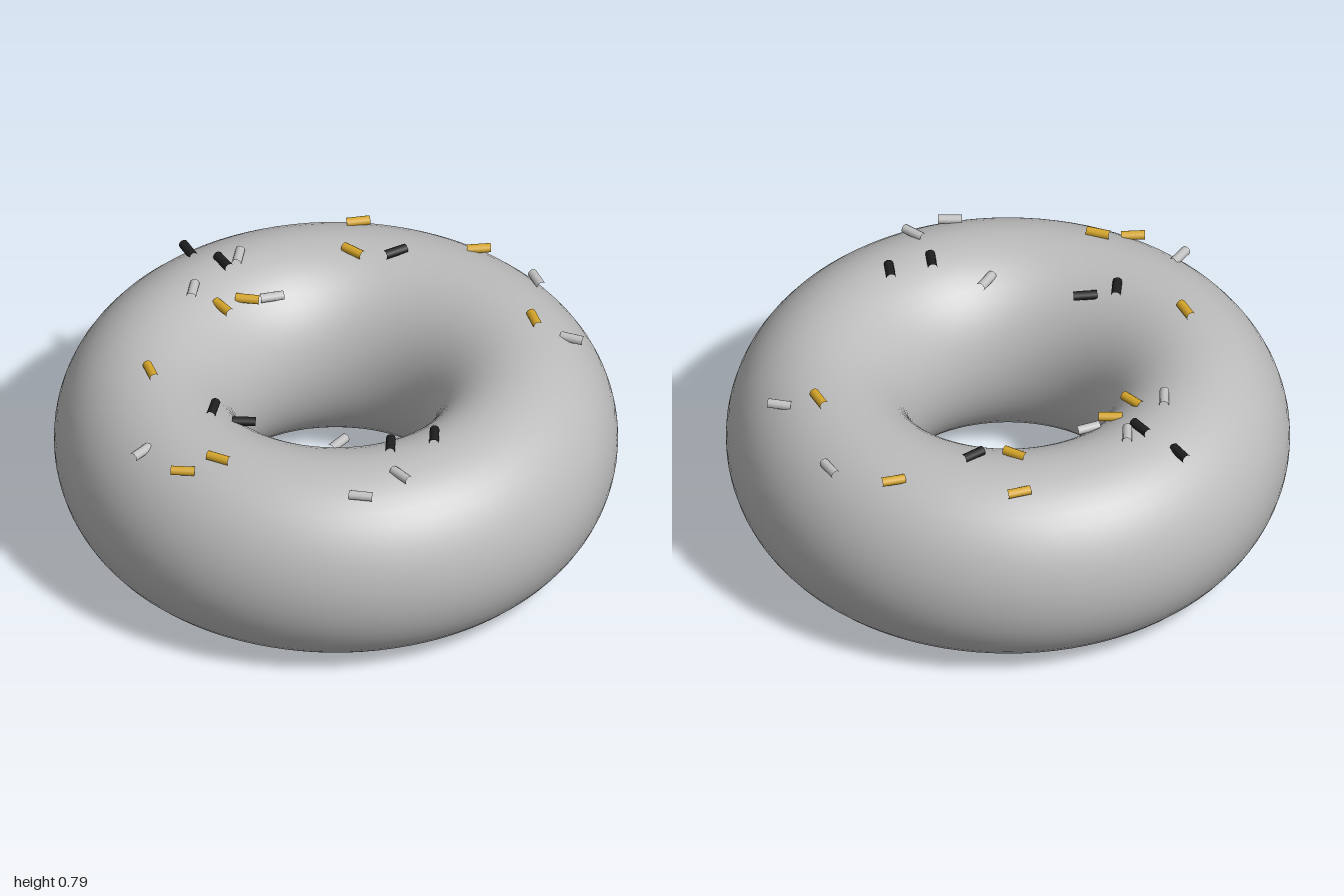
import * as THREE from 'three';

const RING = 0.668, HALF_WIDTH = 0.332, HALF_HEIGHT = 0.381;

const material = (name, color) => {
  const m = new THREE.MeshStandardMaterial({ color });
  m.name = name;
  return m;
};

// Height of the dough's upper surface at a distance r from the axis
const topHeight = (t) => HALF_HEIGHT * (1 + Math.sqrt(1 - t * t));

export function createModel() {
  const model = new THREE.Group();
  model.name = 'doughnut';

  const dough = material('doughGrey', 0xbcbcbc);
  const gold = material('sprinkleGold', 0xd6a62a);
  const silver = material('sprinkleSilver', 0xc2c2c2);
  const black = material('sprinkleBlack', 0x1e1e1e);

  // Ring body: a torus laid flat and stretched to an oval section
  const bodyGeo = new THREE.TorusGeometry(RING, HALF_WIDTH, 48, 96);
  bodyGeo.rotateX(Math.PI / 2);
  bodyGeo.scale(1, HALF_HEIGHT / HALF_WIDTH, 1);
  bodyGeo.translate(0, HALF_HEIGHT, 0);
  const body = new THREE.Mesh(bodyGeo, dough);
  body.name = 'ringBody';
  model.add(body);

  // Sprinkles: short open tubes lying level, each given as [x, z, dx, dz]
  const tube = new THREE.CylinderGeometry(0.017, 0.017, 0.085, 10, 1, true);
  tube.rotateZ(Math.PI / 2);

  const addSprinkles = (name, mat, list) => {
    const group = new THREE.Group();
    group.name = name;
    for (const [x, z, dx, dz] of list) {
      const t = (Math.hypot(x, z) - RING) / HALF_WIDTH;
      const mesh = new THREE.Mesh(tube, mat);
      mesh.name = 'sprinkle';
      mesh.position.set(x, topHeight(t) + 0.008 + 0.03 * t * t, z);
      mesh.rotation.y = Math.atan2(-dz, dx);
      group.add(mesh);
    }
    model.add(group);
  };

  addSprinkles('blackSprinkles', black, [
    [-0.353, -0.745, 3, 14], [-0.262, -0.6, 4, 14], [0.345, -0.515, 15, -4],
    [-0.5, 0.205, 7, -14], [-0.4, 0.255, 14, 4], [0.053, 0.585, 4, -14],
    [0.214, 0.58, 4, -14],
  ]);
  addSprinkles('goldSprinkles', gold, [
    [0.267, -0.75, 15, 1], [0.203, -0.56, 10, 13], [0.647, -0.505, 15, 2],
    [-0.315, -0.393, 6, 14], [-0.214, -0.436, 14, 6], [-0.668, -0.033, 1, 15],
    [0.727, -0.008, 1, 15], [-0.684, 0.5, 15, 5], [-0.556, 0.51, 13, 11],
  ]);
  addSprinkles('silverSprinkles', silver, [
    [-0.203, -0.617, 6, -14], [-0.406, -0.468, 6, -14], [-0.123, -0.447, 1, 0],
    [0.813, -0.318, 2, 14], [0.845, 0.072, 13, 9], [-0.797, 0.34, 13, -9],
    [-0.107, 0.463, 13, -10], [-0.112, 0.815, 14, 6], [0.048, 0.762, 7, 13],
  ]);

  return model;
}
